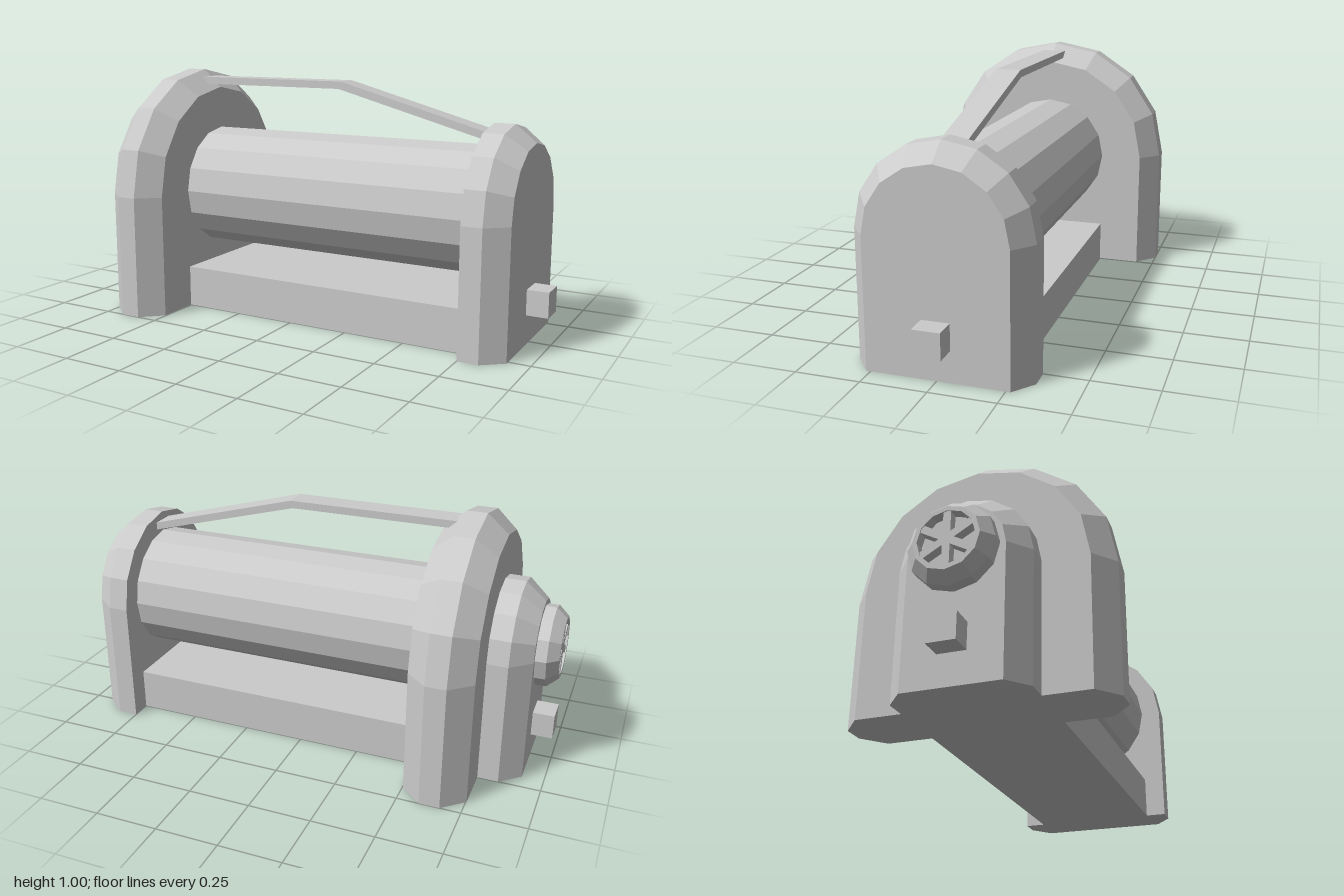
import * as THREE from 'three';

const material = new THREE.MeshStandardMaterial({ color: 0xcccccc, flatShading: true });
const AXIS_Y = 0.5;

// Round-topped solid standing on the ground: sections are [x, radius] along +x
function archGeometry(sections, segments = 8) {
  const rings = sections.map(([x, r]) => {
    const ring = [[x, 0, r]];
    for (let i = 0; i <= segments; i++) {
      const a = (i / segments) * Math.PI;
      ring.push([x, AXIS_Y + r * Math.sin(a), r * Math.cos(a)]);
    }
    ring.push([x, 0, -r]);
    return ring;
  });
  const pos = [];
  const tri = (a, b, c) => pos.push(...a, ...b, ...c);
  const n = rings[0].length;
  for (let j = 0; j < rings.length - 1; j++) {
    for (let i = 0; i < n; i++) {
      const k = (i + 1) % n;
      tri(rings[j][i], rings[j + 1][i], rings[j + 1][k]);
      tri(rings[j][i], rings[j + 1][k], rings[j][k]);
    }
  }
  // End caps
  const first = rings[0], last = rings[rings.length - 1];
  for (let i = 1; i < n - 1; i++) {
    tri(first[0], first[i], first[i + 1]);
    tri(last[0], last[i + 1], last[i]);
  }
  const geo = new THREE.BufferGeometry();
  geo.setAttribute('position', new THREE.Float32BufferAttribute(pos, 3));
  geo.computeVertexNormals();
  return geo;
}

export function createModel() {
  const model = new THREE.Group();
  model.name = 'winch';

  const add = (name, geometry, x = 0, y = 0, z = 0, parent = model) => {
    const mesh = new THREE.Mesh(geometry, material);
    mesh.name = name;
    mesh.position.set(x, y, z);
    parent.add(mesh);
    return mesh;
  };

  // Housings
  add('mainFlange', archGeometry([[-0.753, 0.425], [-0.668, 0.5], [-0.587, 0.5], [-0.503, 0.425]]));
  add('motorHousing', archGeometry([[-0.915, 0.18], [-0.835, 0.25], [-0.74, 0.25]]));
  add('endHousing', archGeometry([[0.75, 0.333], [0.832, 0.333], [0.915, 0.267]]));

  // Drum and base beam between the housings
  const drum = add('drum', new THREE.CylinderGeometry(0.25, 0.25, 1.27, 16), 0.123, AXIS_Y, 0);
  drum.rotation.z = Math.PI / 2;
  add('baseBeam', new THREE.BoxGeometry(1.27, 0.17, 0.5), 0.123, 0.085, 0);

  // Square pegs on both ends
  for (const s of [-1, 1]) {
    add(s < 0 ? 'rightPeg' : 'leftPeg', new THREE.BoxGeometry(0.1, 0.1, 0.105), s * 0.95, 0.17, 0);
  }

  // Bent strap over the drum
  const strap = new THREE.Shape([
    [-0.58, 0.94], [0.11, 0.94], [0.76, 0.764], [0.76, 0.795], [0.12, 0.97], [-0.58, 0.97],
  ].map(([x, y]) => new THREE.Vector2(x, y)));
  add('strap', new THREE.ExtrudeGeometry(strap, { depth: 0.1, bevelEnabled: false }), 0, 0, -0.05);

  // Hub with a recessed face and crossing spokes
  const hub = new THREE.Group();
  hub.name = 'hub';
  hub.position.set(-0.915, AXIS_Y, 0);
  hub.rotation.z = Math.PI / 2;
  model.add(hub);
  const profile = [[0.16, -0.02], [0.16, 0.043], [0.122, 0.085], [0.105, 0.085], [0.105, 0.045], [0, 0.045]]
    .map(([r, h]) => new THREE.Vector2(r, h));
  add('hubRim', new THREE.LatheGeometry(profile, 12), 0, 0, 0, hub);
  for (let i = 0; i < 3; i++) {
    const spoke = add('hubSpoke', new THREE.BoxGeometry(0.215, 0.038, 0.028), 0, 0.062, 0, hub);
    spoke.rotation.y = (i * Math.PI) / 3;
  }

  return model;
}
